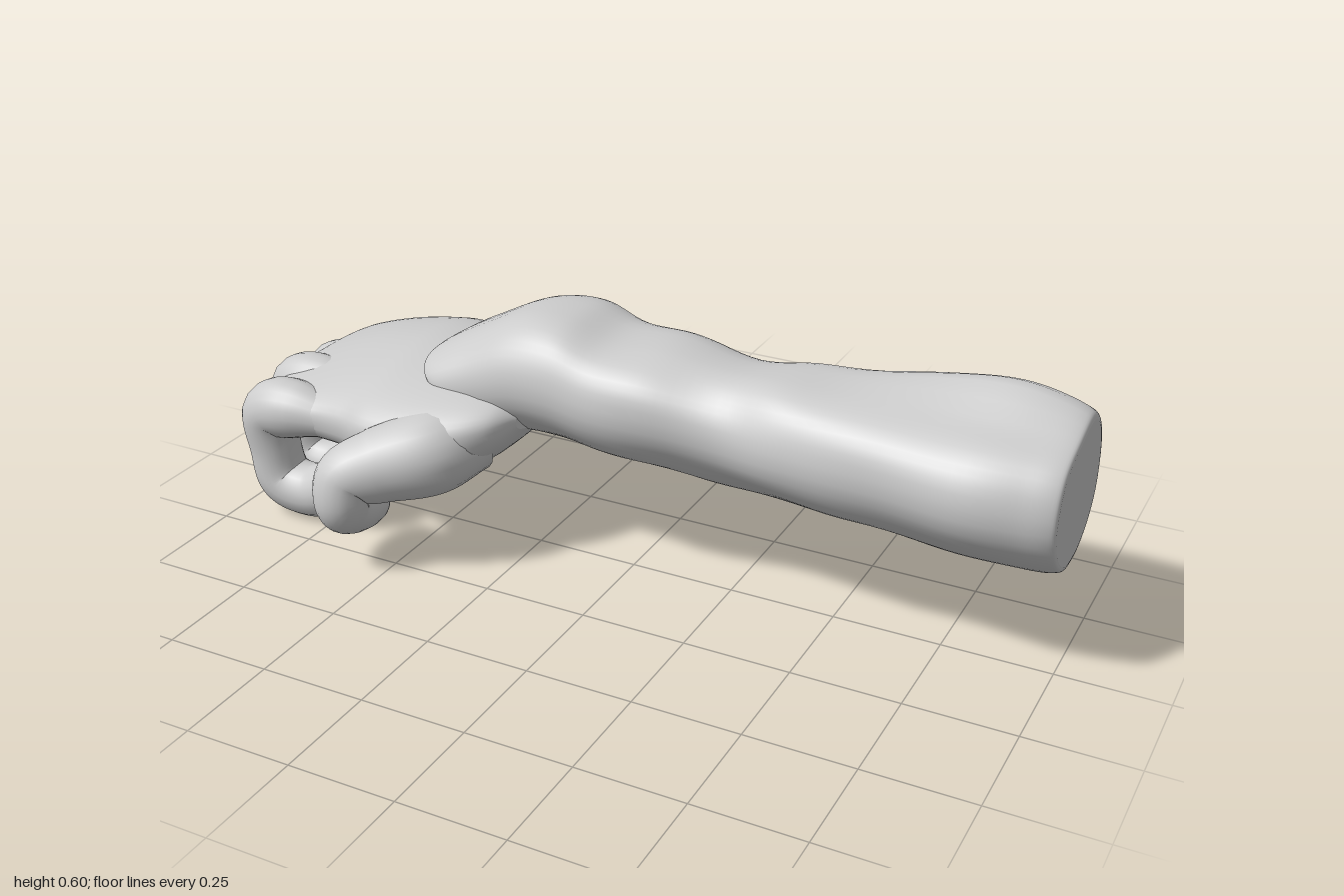
import * as THREE from 'three';

const material = new THREE.MeshStandardMaterial({ color: 0xcccccc, side: THREE.DoubleSide });
const SEG = 48;

// Skin a list of rings; the start gets a flat cap, the end an optional smooth one
function loft(name, rings, capEnd) {
  const n = rings[0].length, pos = [], index = [];
  const put = p => pos.push(p.x, p.y, p.z) / 3 - 1;
  const middle = r => r.reduce((s, p) => s.add(p), new THREE.Vector3()).divideScalar(n);
  rings.forEach(r => r.forEach(put));
  for (let i = 0; i < rings.length - 1; i++) {
    for (let j = 0; j < n; j++) {
      const a = i * n + j, b = i * n + (j + 1) % n;
      index.push(a, b, b + n, a, b + n, a + n);
    }
  }
  const base = rings[0].map(put)[0], c0 = put(middle(rings[0]));
  for (let j = 0; j < n; j++) index.push(c0, base + (j + 1) % n, base + j);
  if (capEnd) {
    const last = (rings.length - 1) * n, c1 = put(middle(rings[rings.length - 1]));
    for (let j = 0; j < n; j++) index.push(c1, last + j, last + (j + 1) % n);
  }
  const g = new THREE.BufferGeometry();
  g.setAttribute('position', new THREE.Float32BufferAttribute(pos, 3));
  g.setIndex(index);
  g.computeVertexNormals();
  const mesh = new THREE.Mesh(g, material);
  mesh.name = name;
  return mesh;
}

// Smooth interpolation through a list of numbers, t from 0 to 1
function channel(values) {
  const s = new THREE.SplineCurve(values.map((v, i) => new THREE.Vector2(i, v)));
  return t => s.getPoint(t).y;
}

// Cross-section rows [x, bottom, top, back, front, slant] along -x, shaped by a rule
function body(name, rows, steps, power, shape, capEnd) {
  const ch = rows[0].map((_, k) => channel(rows.map(r => r[k])));
  const rings = [];
  for (let i = 0; i <= steps; i++) {
    const [x, yb, yt, zb, zf, slant] = ch.map(f => f(i / steps));
    const ring = [];
    for (let j = 0; j < SEG; j++) {
      const a = j / SEG * Math.PI * 2, c = Math.cos(a), s = Math.sin(a);
      const u = Math.sign(c) * Math.abs(c) ** (2 / power);
      const v = Math.sign(s) * Math.abs(s) ** (2 / power);
      const p = new THREE.Vector3(x - slant * (v + 0.2 * u),
        (yb + yt) / 2 + v * (yt - yb) / 2, (zb + zf) / 2 + u * (zf - zb) / 2);
      shape(p, u, v, a);
      ring.push(p);
    }
    rings.push(ring);
  }
  return loft(name, rings, capEnd);
}

// Round limb along a path with changing radius and a rounded tip
function limb(name, points, radii) {
  const curve = new THREE.CatmullRomCurve3(points.map(p => new THREE.Vector3(...p)));
  const n = 70, len = curve.getLength(), radius = channel(radii);
  const { normals, binormals } = curve.computeFrenetFrames(n);
  const rings = [];
  for (let i = 0; i <= n; i++) {
    const c = curve.getPointAt(i / n);
    let r = radius(curve.getUtoTmapping(i / n));
    const d = len * (1 - i / n);
    if (d < r) r *= Math.max(0.08, Math.sqrt(1 - (1 - d / r) ** 2));
    rings.push(Array.from({ length: 20 }, (_, j) => {
      const a = j / 20 * Math.PI * 2;
      return c.clone().addScaledVector(normals[i], r * Math.cos(a)).addScaledVector(binormals[i], r * Math.sin(a));
    }));
  }
  return loft(name, rings, true);
}

const bell = (x, c, w) => Math.exp(-(((x - c) / w) ** 2));

export function createModel() {
  const group = new THREE.Group();
  group.name = 'forearmAndHand';

  // Sleeve: flat shoulder end, slanted cuff, then a lip turning back inside
  group.add(body('sleeve', [
    [0.995, 0.252, 0.53, -0.222, 0.108, 0],
    [0.985, 0.238, 0.545, -0.24, 0.122, 0],
    [0.93, 0.232, 0.555, -0.25, 0.138, 0],
    [0.80, 0.238, 0.56, -0.262, 0.157, 0],
    [0.60, 0.248, 0.555, -0.255, 0.137, 0],
    [0.40, 0.255, 0.55, -0.22, 0.127, 0],
    [0.25, 0.262, 0.538, -0.207, 0.099, 0],
    [0.08, 0.272, 0.557, -0.232, 0.125, 0],
    [-0.06, 0.28, 0.562, -0.24, 0.133, 0],
    [-0.16, 0.283, 0.59, -0.25, 0.13, 0.01],
    [-0.25, 0.285, 0.58, -0.258, 0.122, 0.04],
    [-0.33, 0.29, 0.52, -0.265, 0.118, 0.08],
    [-0.40, 0.305, 0.46, -0.262, 0.115, 0.112],
    [-0.395, 0.315, 0.447, -0.245, 0.10, 0.106],
    [-0.28, 0.32, 0.45, -0.22, 0.08, 0.06],
  ], 90, 2.6, (p, u, v, a) => {
    // Narrower underside, muscle bulge with a hollow beside it, soft cloth folds
    const low = Math.max(0, -v), high = Math.max(0, v);
    const squeeze = u > 0 ? 0.34 * low ** 1.3 : 0.2 * low * low;
    p.z = -0.06 + (p.z + 0.06) * (1 - squeeze);
    p.y += high * bell(p.x, 0.82, 0.2) * (0.048 * bell(p.z, -0.13, 0.09) - 0.012 * bell(p.z, 0.02, 0.07));
    const fold = 0.005 * Math.sin(p.x * 17 + a * 2) * Math.sin(a * 3 - p.x * 6) * bell(p.x, 0.2, 0.6);
    p.y += fold * v;
    p.z += fold * u;
  }, false));

  const hand = new THREE.Group();
  hand.name = 'hand';
  group.add(hand);

  // Palm: broad slab with a web toward the thumb, sloping down to the knuckles
  hand.add(body('palm', [
    [-0.25, 0.32, 0.40, -0.17, 0.10, 0],
    [-0.29, 0.27, 0.42, -0.22, 0.17, 0],
    [-0.36, 0.215, 0.43, -0.28, 0.225, 0],
    [-0.46, 0.19, 0.432, -0.34, 0.255, 0],
    [-0.58, 0.185, 0.43, -0.38, 0.245, 0],
    [-0.66, 0.186, 0.418, -0.386, 0.215, 0],
    [-0.75, 0.19, 0.398, -0.385, 0.20, 0],
    [-0.84, 0.203, 0.37, -0.378, 0.207, 0],
    [-0.90, 0.225, 0.348, -0.34, 0.20, 0],
    [-0.935, 0.25, 0.325, -0.25, 0.175, 0],
  ], 60, 2.5, (p, u, v) => {
    if (v < 0) p.y += 0.018 * (1 - u * u) * -v * bell(p.x, -0.65, 0.2);
    else p.y -= 0.03 * v * Math.max(0, u) * bell(p.x, -0.65, 0.35);
    p.y += 0.02 * Math.min(0, u) * (1 - Math.abs(v)) * bell(p.x, -0.65, 0.25);
  }, true));

  // Fingers curled under: [name, knuckle z, tip z, x shift, y shift, radius]
  const fingers = [
    ['indexFinger', 0.15, 0.135, 0.018, 0, 0.066],
    ['middleFinger', 0.015, 0.007, 0, 0.013, 0.063],
    ['ringFinger', -0.13, -0.125, -0.003, -0.003, 0.058],
    ['littleFinger', -0.315, -0.252, 0.07, 0.008, 0.05],
  ];
  const path = [[-0.70, 0.28], [-0.85, 0.288], [-0.925, 0.267], [-0.93, 0.17],
    [-0.91, 0.085], [-0.83, 0.067], [-0.74, 0.105], [-0.66, 0.165]];
  for (const [name, zk, zt, dx, dy, r] of fingers) {
    const pts = path.map(([x, y], i) =>
      [x + dx, y + dy, zk + (zt - zk) * THREE.MathUtils.smoothstep(i, 1, 5)]);
    hand.add(limb(name, pts, [0.55, 1.08, 1.08, 0.95, 1, 1, 1, 0.85].map(k => k * r)));
  }

  // Thumb with its fleshy base, bent inward at the tip
  hand.add(limb('thumb', [
    [-0.37, 0.30, 0.09], [-0.425, 0.285, 0.19], [-0.52, 0.262, 0.265], [-0.578, 0.235, 0.312],
    [-0.585, 0.17, 0.323], [-0.59, 0.13, 0.25], [-0.595, 0.115, 0.16],
  ], [0.085, 0.1, 0.088, 0.073, 0.062, 0.055, 0.042]));

  return group;
}
